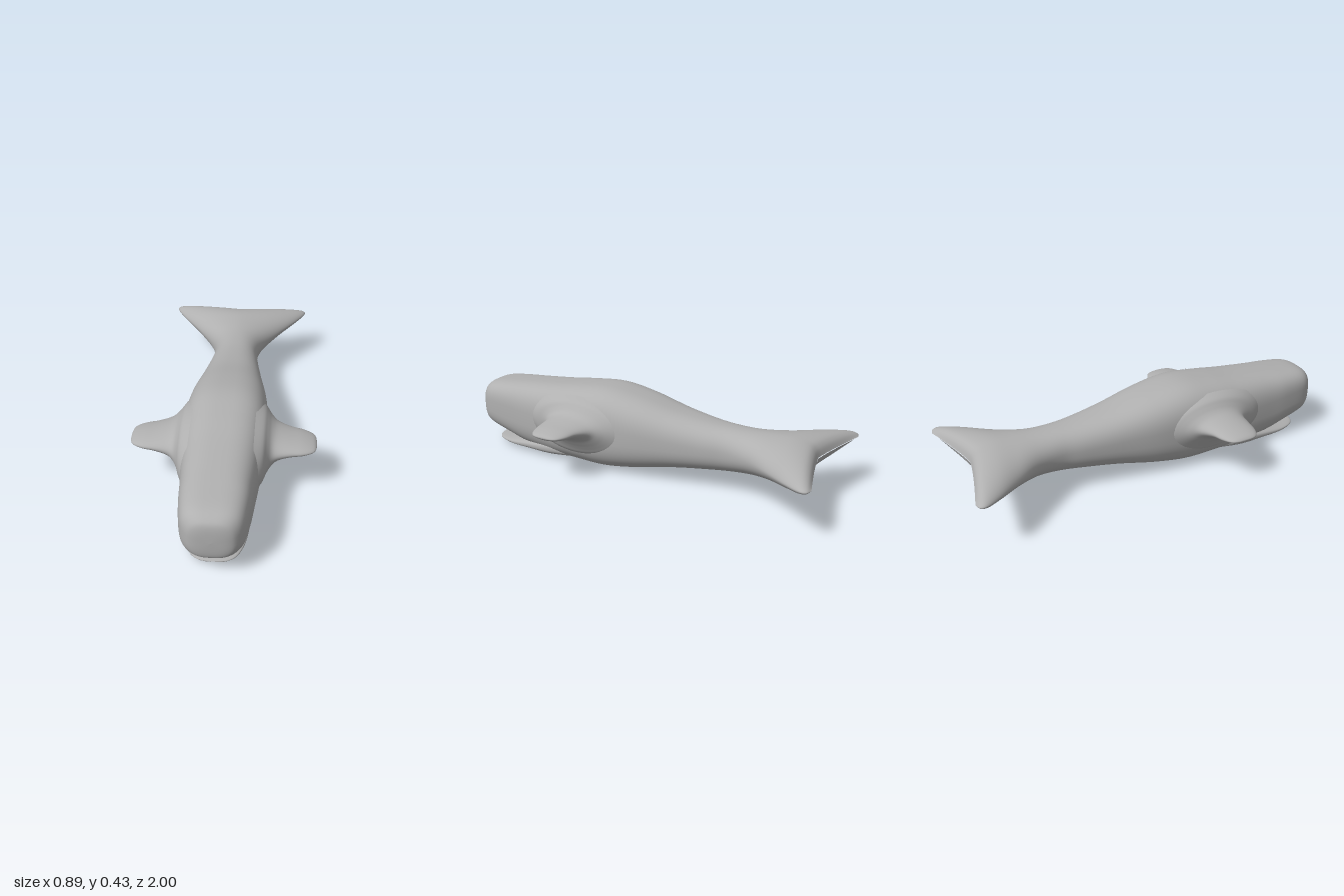
import * as THREE from 'three';

const grey = new THREE.MeshStandardMaterial({ color: 0xb0b0b0 });
grey.name = 'whale grey';

const cubic = (a, b, c, d, t) =>
  b + 0.5 * t * (c - a + t * (2 * a - 5 * b + 4 * c - d + t * (3 * (b - c) + d - a)));

// Smooth skin over superellipse sections running towards -z.
// Section: [z, centre x, half width, top, bottom, squareness, backward sweep of the edges]
function loft(sections, steps = 5, sides = 64) {
  const pos = [], index = [], last = sections.length - 1;
  const at = i => sections[Math.min(last, Math.max(0, i))];
  const rings = last * steps;
  for (let r = 0; r <= rings; r++) {
    const i = Math.min(last - 1, Math.floor(r / steps)), t = r / steps - i;
    const [z, cx, w, top, bottom, n, sweep] =
      at(i).map((v, k) => cubic(at(i - 1)[k], v, at(i + 1)[k], at(i + 2)[k], t));
    for (let j = 0; j < sides; j++) {
      const a = (j / sides) * Math.PI * 2, c = Math.cos(a), s = Math.sin(a);
      const u = Math.sign(c) * Math.abs(c) ** (2 / n);
      const v = Math.sign(s) * Math.abs(s) ** (2 / n);
      pos.push(cx + w * u, (top + bottom) / 2 + (v * (top - bottom)) / 2,
        z - sweep * Math.abs(u) ** 1.2);
    }
  }
  for (let r = 0; r < rings; r++) {
    for (let j = 0; j < sides; j++) {
      const k = (j + 1) % sides;
      const a = r * sides + j, b = r * sides + k, c = a + sides, d = b + sides;
      index.push(a, c, b, b, c, d);
    }
  }
  const g = new THREE.BufferGeometry();
  g.setAttribute('position', new THREE.Float32BufferAttribute(pos, 3));
  g.setIndex(index);
  g.computeVertexNormals();
  return g;
}

export function createModel() {
  const group = new THREE.Group();
  group.name = 'whale';
  const add = (name, geometry) => {
    const m = new THREE.Mesh(geometry, grey);
    m.name = name;
    group.add(m);
  };

  // Blunt head, back and tail stock, widening into the swept flukes
  add('bodyAndFlukes', loft([
    [1.0, 0, 0.002, 0.221, 0.219, 2.6, 0],
    [0.995, 0, 0.07, 0.295, 0.145, 2.8, 0],
    [0.975, 0, 0.11, 0.33, 0.117, 3, 0],
    [0.92, 0, 0.142, 0.355, 0.098, 3.2, 0],
    [0.8, 0, 0.16, 0.37, 0.066, 3.2, 0],
    [0.68, 0, 0.17, 0.382, 0.03, 3, 0],
    [0.5, 0, 0.187, 0.4, 0.012, 2.9, 0],
    [0.35, 0, 0.2, 0.42, 0.006, 2.8, 0],
    [0.18, 0, 0.205, 0.433, 0.005, 2.8, 0],
    [0.0, 0, 0.193, 0.408, 0.03, 2.7, 0],
    [-0.2, 0, 0.16, 0.363, 0.07, 2.6, 0],
    [-0.38, 0, 0.132, 0.337, 0.094, 2.4, 0],
    [-0.5, 0, 0.12, 0.329, 0.108, 2.3, 0],
    [-0.6, 0, 0.148, 0.328, 0.12, 2, 0.02],
    [-0.7, 0, 0.235, 0.332, 0.14, 1.75, 0.05],
    [-0.8, 0, 0.33, 0.335, 0.165, 1.7, 0.07],
    [-0.87, 0, 0.383, 0.322, 0.19, 1.75, 0.083],
    [-0.902, 0, 0.38, 0.295, 0.217, 1.9, 0.088],
    [-0.915, 0, 0.345, 0.257, 0.253, 2, 0.085],
  ]));

  // Thin lower jaw, fading into the belly
  add('lowerJaw', loft([
    [0.92, 0, 0.01, 0.037, 0.033, 2.2, 0],
    [0.91, 0, 0.065, 0.042, 0.028, 2.3, 0],
    [0.87, 0, 0.108, 0.047, 0.022, 2.5, 0],
    [0.78, 0, 0.138, 0.056, 0.014, 2.6, 0],
    [0.65, 0, 0.152, 0.08, 0.009, 2.6, 0],
    [0.5, 0, 0.16, 0.1, 0.007, 2.6, 0],
    [0.3, 0, 0.12, 0.08, 0.02, 2.4, 0],
  ]));

  // Flippers with flared roots: [x, rear z, front z, top, bottom]
  const flipper = [
    [0.15, 0.0, 0.64, 0.39, 0.07],
    [0.19, 0.05, 0.57, 0.37, 0.095],
    [0.21, 0.09, 0.51, 0.348, 0.125],
    [0.23, 0.13, 0.47, 0.326, 0.155],
    [0.26, 0.175, 0.449, 0.309, 0.19],
    [0.32, 0.212, 0.437, 0.295, 0.217],
    [0.38, 0.23, 0.427, 0.285, 0.228],
    [0.425, 0.255, 0.405, 0.273, 0.24],
    [0.441, 0.285, 0.375, 0.263, 0.25],
    [0.444, 0.325, 0.335, 0.257, 0.255],
  ];
  for (const side of [1, -1]) {
    const g = loft(flipper.map(([x, back, front, top, bottom]) =>
      [-x, (side * (back + front)) / 2, (front - back) / 2, top, bottom, 2, 0]), 4, 48);
    g.rotateY((-side * Math.PI) / 2);
    add(side > 0 ? 'leftFlipper' : 'rightFlipper', g);
  }
  return group;
}
